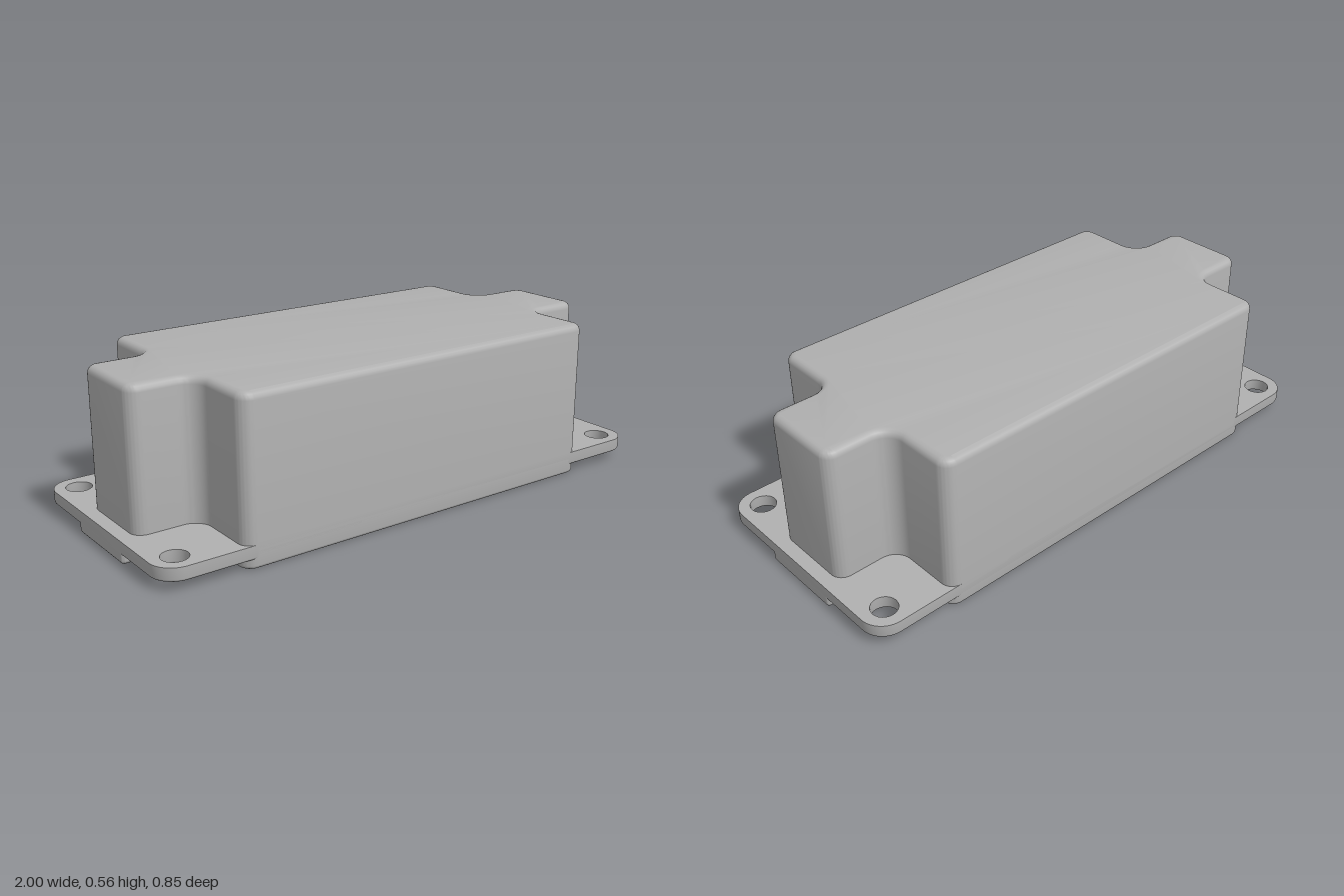
import * as THREE from 'three';
import { toCreasedNormals } from 'three/addons/utils/BufferGeometryUtils.js';

const SPEAKER_X = -0.095, SPEAKER_HALF = 0.18;

// Closed outline with a corner radius per point: [x, y, radius]
function roundedOutline(points) {
  const shape = new THREE.Shape();
  const n = points.length;
  points.forEach(([x, y, r], i) => {
    const p = new THREE.Vector2(x, y);
    const toward = (q) => new THREE.Vector2(q[0], q[1]).sub(p).setLength(r).add(p);
    const a = toward(points[(i + n - 1) % n]), b = toward(points[(i + 1) % n]);
    if (i === 0) shape.moveTo(a.x, a.y); else shape.lineTo(a.x, a.y);
    // Cubic that closely follows a quarter circle
    const c1 = a.clone().lerp(p, 0.5523), c2 = b.clone().lerp(p, 0.5523);
    shape.bezierCurveTo(c1.x, c1.y, c2.x, c2.y, b.x, b.y);
  });
  shape.closePath();
  return shape;
}

// Plus-shaped plan: wide block with a narrow arm at each end
function crossOutline(armX, armRadius) {
  const w = 0.72, d = 0.425, a = 0.157, q = 0.045, f = 0.065;
  return roundedOutline([
    [w, -d, q], [w, -a, f], [armX, -a, armRadius], [armX, a, armRadius], [w, a, f], [w, d, q],
    [-w, d, q], [-w, a, f], [-armX, a, armRadius], [-armX, -a, armRadius], [-w, -a, f], [-w, -d, q],
  ]);
}

function stadiumHole(r) {
  const hole = new THREE.Path();
  hole.absarc(SPEAKER_X + SPEAKER_HALF, 0, r, -Math.PI / 2, Math.PI / 2);
  hole.absarc(SPEAKER_X - SPEAKER_HALF, 0, r, Math.PI / 2, Math.PI * 1.5);
  hole.closePath();
  return hole;
}

// Upright slab from y0 to y1 with only its top or bottom edge rounded
function slab(shape, y0, y1, bevel, roundTop) {
  const low = roundTop ? y0 - bevel : y0;
  const high = roundTop ? y1 : y1 + bevel;
  const g = new THREE.ExtrudeGeometry(shape, {
    depth: high - low - 2 * bevel, bevelEnabled: true, bevelThickness: bevel,
    bevelSize: bevel, bevelOffset: -bevel, bevelSegments: 4, curveSegments: 12,
  });
  g.rotateX(-Math.PI / 2).translate(0, low + bevel, 0);
  const p = g.attributes.position;
  for (let i = 0; i < p.count; i++) p.setY(i, THREE.MathUtils.clamp(p.getY(i), y0, y1));
  return toCreasedNormals(g, 0.6);
}

export function createModel() {
  const group = new THREE.Group();
  const grey = new THREE.MeshStandardMaterial({ color: 0xb0b0b0 });
  grey.name = 'plain grey';
  const add = (name, geometry) => {
    const mesh = new THREE.Mesh(geometry, grey);
    mesh.name = name;
    group.add(mesh);
    return mesh;
  };

  // Tall enclosure
  add('enclosure', slab(crossOutline(0.95, 0.045), 0.06, 0.565, 0.025, true));

  // Mounting flange with four screw holes
  const c = 0.085;
  const flange = roundedOutline([[1, -0.425, c], [1, 0.425, c], [-1, 0.425, c], [-1, -0.425, c]]);
  for (const sx of [-1, 1]) for (const sz of [-1, 1]) {
    const hole = new THREE.Path();
    hole.absarc(sx * 0.915, sz * 0.342, 0.045, 0, Math.PI * 2);
    flange.holes.push(hole);
  }
  flange.holes.push(stadiumHole(0.39));
  add('mountingFlange', slab(flange, 0.033, 0.08, 0.008, false));

  // Foot plate with the speaker opening
  const foot = crossOutline(1, 0.012);
  foot.holes.push(stadiumHole(0.36));
  add('footPlate', slab(foot, 0, 0.06, 0.012, false));

  // Speaker diaphragm with a rolled surround, stretched from a round profile
  const profile = [new THREE.Vector2(0.0001, 0.05)];
  for (let i = 0; i <= 10; i++) {
    const t = Math.PI * i / 10;
    profile.push(new THREE.Vector2(0.27 - 0.028 * Math.cos(t), 0.05 - 0.026 * Math.sin(t)));
  }
  profile.push(new THREE.Vector2(0.375, 0.05));
  const cone = new THREE.LatheGeometry(profile, 64, Math.PI / 64);
  const p = cone.attributes.position;
  for (let i = 0; i < p.count; i++) {
    p.setX(i, p.getX(i) + Math.sign(p.getX(i)) * SPEAKER_HALF);
  }
  add('speakerDiaphragm', toCreasedNormals(cone, 0.6)).position.x = SPEAKER_X;

  // Raised ring around the dust cap
  const ring = add('dustCapRing', new THREE.TorusGeometry(0.19, 0.022, 12, 48).rotateX(Math.PI / 2));
  ring.position.set(SPEAKER_X, 0.05, 0);

  return group;
}
